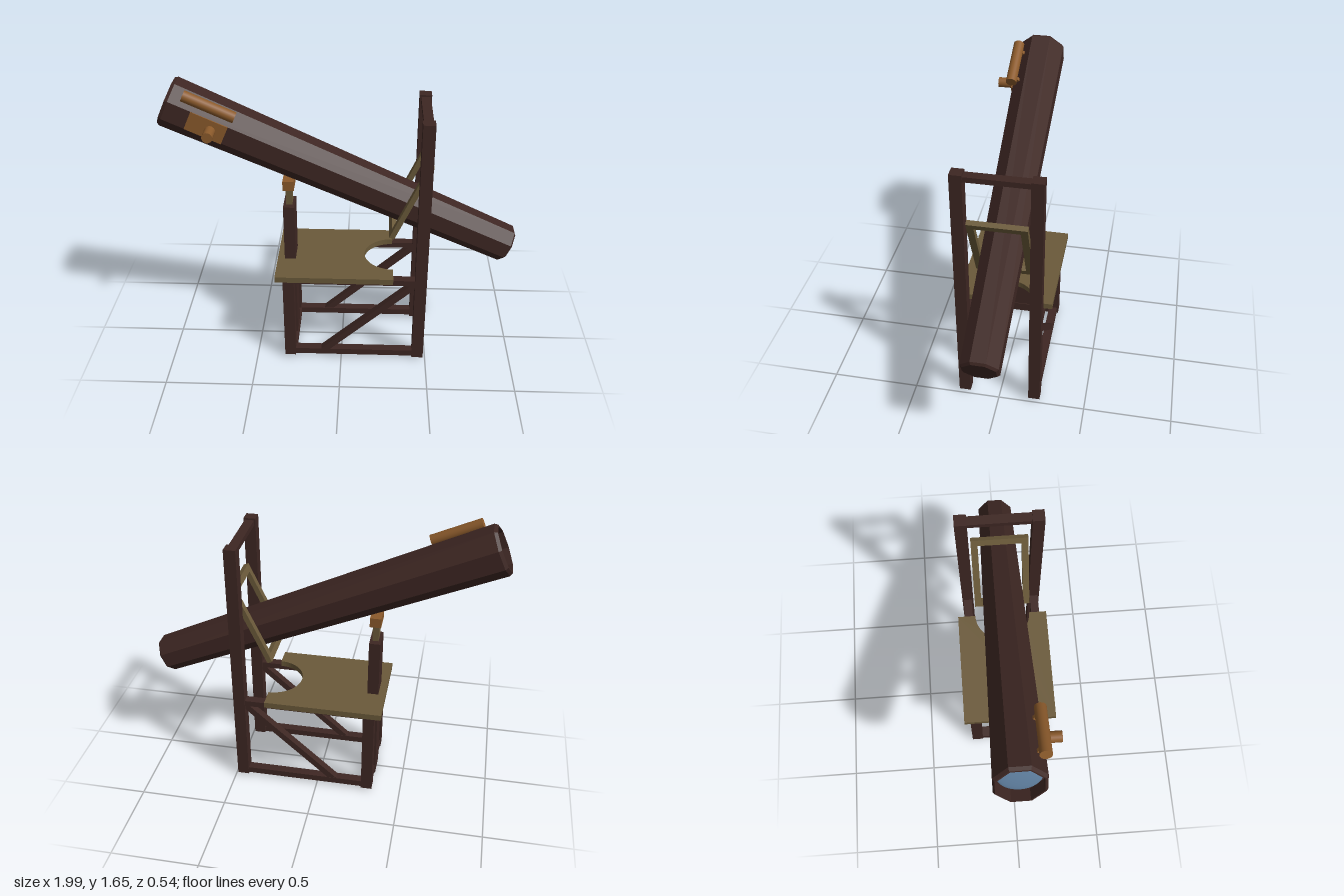
import * as THREE from 'three';

const material = (color, extra = {}) => new THREE.MeshStandardMaterial({ color, ...extra });

export function createModel() {
  const model = new THREE.Group();
  model.name = 'telescopeOnStand';
  const darkWood = material(0x3e2723, { flatShading: true });
  const paleWood = material(0x6b5a3a);
  const brass = material(0x8b5a2b);
  const glass = material(0x5f7f9f);

  const add = (parent, name, geometry, mat, x = 0, y = 0, z = 0) => {
    const mesh = new THREE.Mesh(geometry, mat);
    mesh.name = name;
    mesh.position.set(x, y, z);
    parent.add(mesh);
    return mesh;
  };
  // Box given by its lower and upper corners
  const block = (parent, name, mat, [x0, y0, z0], [x1, y1, z1]) =>
    add(parent, name, new THREE.BoxGeometry(x1 - x0, y1 - y0, z1 - z0), mat,
      (x0 + x1) / 2, (y0 + y1) / 2, (z0 + z1) / 2);

  // Stand sides, mirrored front to back
  for (const side of [1, -1]) {
    const frame = new THREE.Group();
    frame.name = side > 0 ? 'frontSideFrame' : 'backSideFrame';
    model.add(frame);
    const z = side * 0.205;
    const bar = (name, x0, y0, x1, y1, w) =>
      block(frame, name, darkWood, [x0, y0, z - w / 2], [x1, y1, z + w / 2]);
    bar('tallUpright', 0.42, 0.015, 0.487, 1.52, 0.066);
    bar('shortLeg', -0.334, 0.015, -0.27, 0.556, 0.066);
    bar('upperRail', -0.27, 0.522, 0.42, 0.556, 0.05);
    bar('lowerRail', -0.27, 0.02, 0.42, 0.057, 0.05);
    const from = new THREE.Vector2(-0.11, 0.04), to = new THREE.Vector2(0.43, 0.53);
    const brace = add(frame, 'diagonalBrace',
      new THREE.BoxGeometry(from.distanceTo(to), 0.036, 0.045), darkWood,
      (from.x + to.x) / 2, (from.y + to.y) / 2, z);
    brace.rotation.z = to.clone().sub(from).angle();
  }
  block(model, 'topCrossbar', darkWood, [0.427, 1.48, -0.172], [0.48, 1.51, 0.172]);
  block(model, 'bottomCrossbar', darkWood, [-0.33, 0.02, -0.172], [-0.265, 0.06, 0.172]);

  // Table top with a round notch in its edge
  const top = new THREE.Shape();
  top.moveTo(-0.375, -0.27);
  top.lineTo(0.295, -0.27);
  top.lineTo(0.295, -0.165);
  top.absarc(0.295, 0, 0.165, -Math.PI / 2, -Math.PI * 1.5, true);
  top.lineTo(0.295, 0.27);
  top.lineTo(-0.375, 0.27);
  top.closePath();
  const topGeometry = new THREE.ExtrudeGeometry(top, { depth: 0.034, bevelEnabled: false, curveSegments: 16 });
  topGeometry.rotateX(-Math.PI / 2);
  add(model, 'tableTop', topGeometry, paleWood, 0, 0.556, 0);

  // Support column with its sliding post and rest
  block(model, 'supportColumn', darkWood, [-0.334, 0, -0.07], [-0.27, 0.93, 0.07]);
  block(model, 'slidingPost', paleWood, [-0.319, 0.93, -0.035], [-0.284, 1.035, 0.035]);
  block(model, 'tubeRest', brass, [-0.333, 1.035, -0.065], [-0.27, 1.091, 0.065]);

  // Tilted assembly: local x runs down the tube from its open end
  const tilted = new THREE.Group();
  tilted.name = 'telescope';
  tilted.position.set(-0.945, 1.54, 0);
  tilted.rotation.z = -0.426;
  model.add(tilted);

  // Tapered eight-sided tube with a recessed mouth and bevelled ends
  const length = 2.085;
  const profile = [
    [0, 0.06], [0.122, 0.06], [0.122, -0.005], [0.13, -0.005], [0.141, 0.012],
    [0.108, length - 0.012], [0.094, length], [0, length],
  ].map(([r, s]) => new THREE.Vector2(r, s));
  const tube = new THREE.LatheGeometry(profile, 8, Math.PI / 8);
  tube.rotateZ(-Math.PI / 2);
  add(tilted, 'tube', tube, darkWood);

  // Gently domed lens
  const lens = new THREE.SphereGeometry(0.112, 32, 8, 0, Math.PI * 2, 0, Math.PI / 2);
  lens.scale(1, 0.12, 1);
  lens.rotateZ(Math.PI / 2);
  add(tilted, 'lens', lens, glass, 0.058);

  // Finder on two small posts, and the focuser on its plate
  const finder = new THREE.CylinderGeometry(0.031, 0.031, 0.29, 24);
  finder.rotateZ(Math.PI / 2);
  add(tilted, 'finder', finder, brass, 0.219, 0.119, 0.125);
  for (const s of [0.12, 0.32]) {
    const post = add(tilted, 'finderPost', new THREE.BoxGeometry(0.02, 0.05, 0.02), brass, s, 0.1, 0.104);
    post.rotation.x = Math.PI / 4;
  }
  add(tilted, 'focuserPlate', new THREE.BoxGeometry(0.21, 0.106, 0.014), brass, 0.247, 0, 0.126);
  const focuser = new THREE.CylinderGeometry(0.029, 0.029, 0.1, 24);
  focuser.rotateX(Math.PI / 2);
  add(tilted, 'focuser', focuser, brass, 0.272, -0.005, 0.173);

  // Rectangular cradle around the lower part of the tube
  const cradle = new THREE.Group();
  cradle.name = 'cradle';
  cradle.position.set(1.424, 0.073, 0);
  tilted.add(cradle);
  for (const side of [1, -1]) {
    add(cradle, 'cradleSide', new THREE.BoxGeometry(0.03, 0.49, 0.038), paleWood, 0, 0, side * 0.141);
    add(cradle, 'cradleEnd', new THREE.BoxGeometry(0.03, 0.038, 0.244), paleWood, 0, side * 0.226, 0);
  }
  return model;
}
